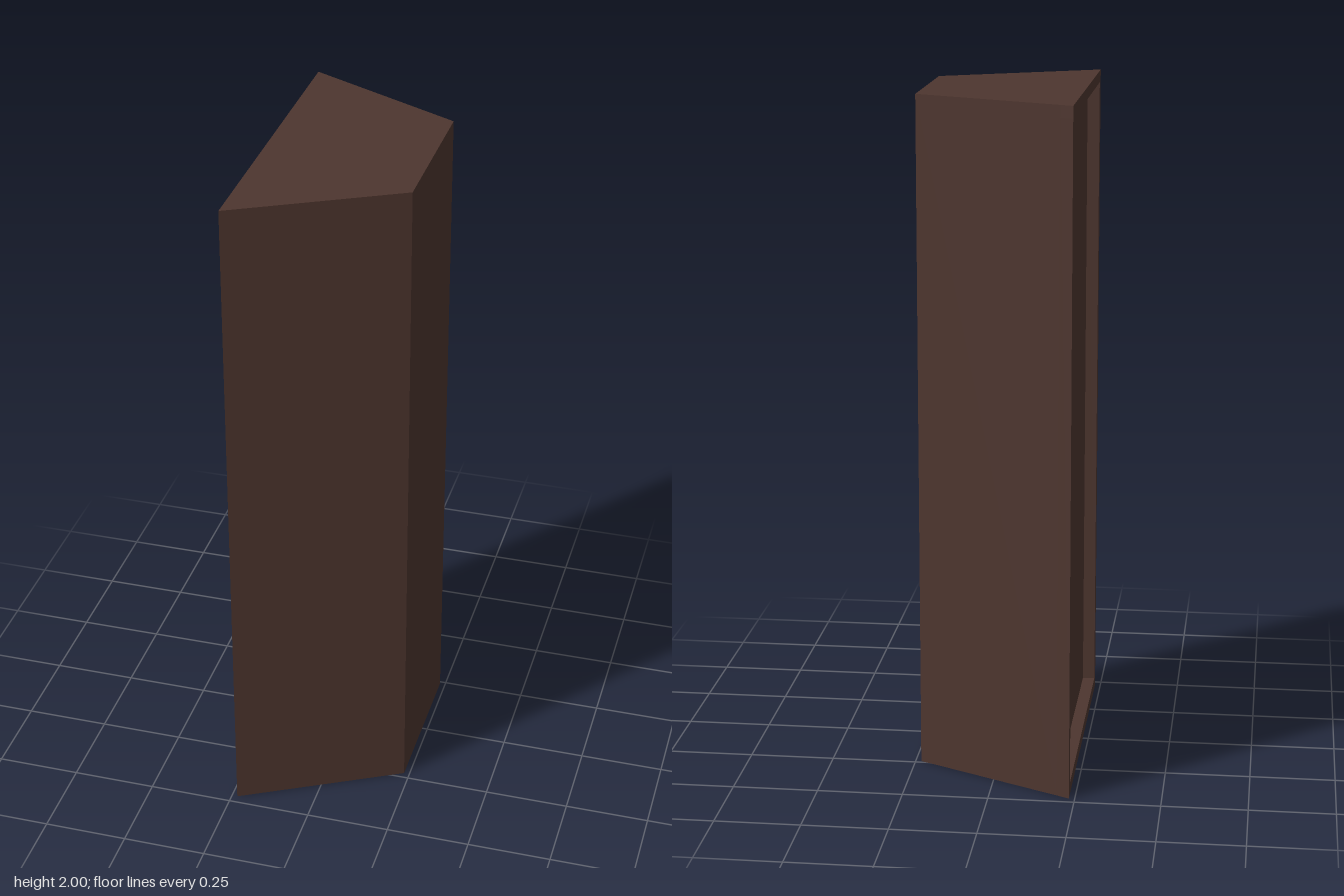
import * as THREE from 'three';

const wood = new THREE.MeshStandardMaterial({ color: 0x4e362f });
wood.name = 'darkBrown';

const HEIGHT = 2, BACK_X = -0.233, FRONT_X = 0.233;
const RIM = 0.035, DEPTH = 0.037;

// z of the two slanted sides at a given x
const along = (x) => (x - BACK_X) / (FRONT_X - BACK_X);
const zNear = (x) => THREE.MathUtils.lerp(0.474, 0.23, along(x));
const zFar = (x) => THREE.MathUtils.lerp(-0.475, -0.241, along(x));

// upright prism from a plan outline of [x, z] points
function prism(name, plan, y0, y1) {
  const shape = new THREE.Shape(plan.map(([x, z]) => new THREE.Vector2(x, -z)));
  const geometry = new THREE.ExtrudeGeometry(shape, { depth: y1 - y0, bevelEnabled: false });
  geometry.rotateX(-Math.PI / 2);
  geometry.translate(0, y0, 0);
  const mesh = new THREE.Mesh(geometry, wood);
  mesh.name = name;
  return mesh;
}

const wedge = (x0, x1) => [[x0, zNear(x0)], [x1, zNear(x1)], [x1, zFar(x1)], [x0, zFar(x0)]];

export function createModel() {
  const group = new THREE.Group();
  group.name = 'taperedCabinet';
  const panelX = BACK_X + DEPTH;

  // solid tapered body; its wide face is the recessed panel
  group.add(prism('body', wedge(panelX, FRONT_X), 0, HEIGHT));

  // raised rim around the panel
  const rim = new THREE.Group();
  rim.name = 'panelRim';
  rim.add(prism('bottomRail', wedge(BACK_X, panelX), 0, RIM));
  rim.add(prism('topRail', wedge(BACK_X, panelX), HEIGHT - RIM, HEIGHT));
  const nearIn = zNear(BACK_X) - RIM, farIn = zFar(BACK_X) + RIM;
  rim.add(prism('nearStile',
    [[BACK_X, zNear(BACK_X)], [panelX, zNear(panelX)], [panelX, nearIn], [BACK_X, nearIn]], RIM, HEIGHT - RIM));
  rim.add(prism('farStile',
    [[BACK_X, farIn], [panelX, farIn], [panelX, zFar(panelX)], [BACK_X, zFar(BACK_X)]], RIM, HEIGHT - RIM));
  group.add(rim);

  return group;
}
